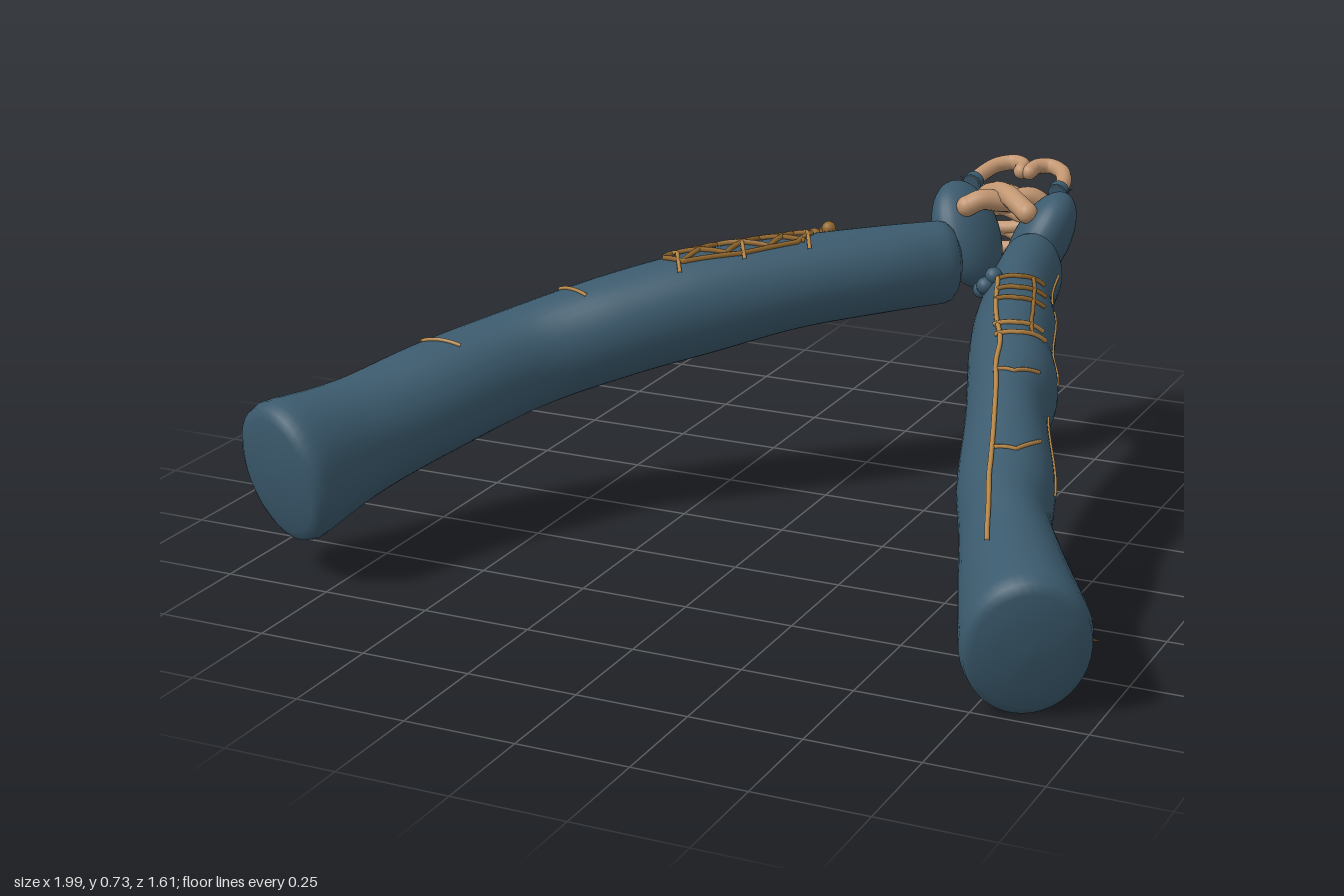
import * as THREE from 'three';

const mat = (name, color) => Object.assign(new THREE.MeshStandardMaterial({ color }), { name });

// Sleeve path from shoulder to wrist: [x, y, z, side radius, vertical radius]
const ARMS = {
  right: [
    [-0.857, 0.26, 0.738, 0.147, 0.17], [-0.785, 0.295, 0.55, 0.122, 0.137], [-0.69, 0.345, 0.36, 0.122, 0.128],
    [-0.56, 0.4, 0.165, 0.106, 0.12], [-0.4, 0.455, 0.02, 0.116, 0.12], [-0.245, 0.495, -0.11, 0.112, 0.12],
    [-0.09, 0.522, -0.245, 0.106, 0.108], [0.07, 0.535, -0.385, 0.093, 0.103], [0.187, 0.54, -0.49, 0.074, 0.1],
  ],
  left: [
    [0.865, 0.162, 0.742, 0.138, 0.17], [0.76, 0.214, 0.545, 0.112, 0.14], [0.697, 0.254, 0.42, 0.097, 0.136],
    [0.648, 0.308, 0.29, 0.104, 0.122], [0.58, 0.378, 0.11, 0.09, 0.124], [0.552, 0.418, 0, 0.1, 0.125],
    [0.51, 0.452, -0.1, 0.094, 0.118], [0.475, 0.487, -0.22, 0.093, 0.113], [0.442, 0.517, -0.33, 0.078, 0.105],
    [0.418, 0.545, -0.48, 0.073, 0.1],
  ],
};

// Returns a function giving points on the sleeve; angle 0 faces -x, 90 faces up
function makeSurface(rows) {
  const path = new THREE.CatmullRomCurve3(rows.map(r => new THREE.Vector3(r[0], r[1], r[2])), false, 'catmullrom');
  const radii = new THREE.CatmullRomCurve3(rows.map(r => new THREE.Vector3(r[3], r[4], 0)), false, 'catmullrom');
  return (u, degrees, lift = 0, scale = 1, shift = 0) => {
    const t = path.getTangent(u), r = radii.getPoint(u), a = THREE.MathUtils.degToRad(degrees);
    const side = new THREE.Vector3(0, 1, 0).cross(t).normalize();
    const up = t.clone().cross(side);
    return path.getPoint(u).addScaledVector(t, shift)
      .addScaledVector(side, Math.cos(a) * (r.x * scale + lift))
      .addScaledVector(up, Math.sin(a) * (r.y * scale + lift));
  };
}

// Skin the sleeve with rings, rounding off both ends
function sleeveGeometry(surface, sides = 40, steps = 64) {
  const rings = [[0, 0.001, -0.024], [0, 0.45, -0.021], [0, 0.8, -0.012], [0, 0.93, -0.002], [0.012, 0.99, 0]];
  for (let i = 1; i <= steps; i++) rings.push([0.012 + (0.988 * i) / steps, 1, 0]);
  rings.push([1, 0.95, 0.016], [1, 0.8, 0.03], [1, 0.5, 0.042], [1, 0.001, 0.047]);
  const pos = [], index = [];
  rings.forEach(([u, scale, shift], i) => {
    for (let j = 0; j < sides; j++) {
      pos.push(...surface(u, (360 * j) / sides, 0, scale, shift).toArray());
      if (i === rings.length - 1) continue;
      const a = i * sides + j, b = i * sides + ((j + 1) % sides);
      index.push(a, b, a + sides, b, b + sides, a + sides);
    }
  });
  const g = new THREE.BufferGeometry();
  g.setAttribute('position', new THREE.Float32BufferAttribute(pos, 3));
  g.setIndex(index);
  g.computeVertexNormals();
  return g;
}

export function createModel() {
  const model = new THREE.Group();
  model.name = 'claspedArms';
  const cloth = mat('blueCloth', 0x3b5a6d);
  const skin = mat('skin', 0xc29671);
  const thread = mat('goldThread', 0xb88848);
  const cord = mat('brownCord', 0x94692f);

  const add = (parent, name, geometry, material) => {
    const m = new THREE.Mesh(geometry, material);
    m.name = name;
    parent.add(m);
    return m;
  };
  const ball = (parent, name, p, r, material) =>
    add(parent, name, new THREE.SphereGeometry(r, 16, 12), material).position.copy(p);

  // A strand laid on a sleeve through [u, angle] stops
  const strand = (parent, surface, name, stops, r, material, lift = 0.002) => {
    const pts = [];
    for (let i = 0; i < stops.length - 1; i++) {
      for (let k = 0; k < 8; k++) {
        const f = k / 8, [a, b] = [stops[i], stops[i + 1]];
        pts.push(surface(a[0] + (b[0] - a[0]) * f, a[1] + (b[1] - a[1]) * f, lift));
      }
    }
    pts.push(surface(...stops[stops.length - 1], lift));
    add(parent, name, new THREE.TubeGeometry(new THREE.CatmullRomCurve3(pts), pts.length * 2, r, 6), material);
  };

  // Sleeves, each with a small loose seam end at the shoulder
  const surfaces = {};
  for (const [side, angle] of [['right', 0], ['left', 180]]) {
    const arm = new THREE.Group();
    arm.name = side + 'Arm';
    model.add(arm);
    const s = (surfaces[side] = makeSurface(ARMS[side]));
    add(arm, 'sleeve', sleeveGeometry(s), cloth);
    const tip = add(arm, 'seamEnd', new THREE.ConeGeometry(0.004, 0.024, 6), cord);
    tip.position.copy(s(0.01, angle, 0.003));
    tip.rotation.z = side === 'right' ? Math.PI / 2 : -Math.PI / 2;
  }

  // Right sleeve: long cord, cross stitches and a laced patch
  const R = model.getObjectByName('rightArm'), rs = surfaces.right;
  strand(R, rs, 'topCord', [[0.13, 47], [0.3, 43], [0.5, 43], [0.7, 46], [0.82, 48]], 0.006, thread, 0.003);
  for (const u of [0.27, 0.45]) strand(R, rs, 'crossStitch', [[u, 42], [u - 0.01, 75], [u + 0.015, 116]], 0.0045, thread);
  for (const [a, b] of [[68, 108], [108, 68]])
    strand(R, rs, 'patchLace', [0.6, 0.66, 0.72, 0.77].map((u, i) => [u, i % 2 ? a : b]), 0.006, cord, 0.005);
  strand(R, rs, 'patchEdge', [[0.58, 88], [0.6, 68], [0.68, 62], [0.76, 68], [0.785, 88], [0.76, 108], [0.68, 114],
    [0.6, 108], [0.58, 88]], 0.006, cord, 0.005);
  for (const u of [0.59, 0.68, 0.77]) strand(R, rs, 'patchBand', [[u, 45], [u + 0.01, 85], [u, 125]], 0.005, thread, 0.006);
  for (const [u, a] of [[0.8, 45], [0.815, 51], [0.815, 64]]) ball(R, 'cordKnot', rs(u, a, 0.008), 0.017, cord);

  // Left sleeve: long cord, dashed outer seam, cross stitches and wrist bands
  const L = model.getObjectByName('leftArm'), ls = surfaces.left;
  strand(L, ls, 'topCord', [[0.09, 58], [0.3, 72], [0.45, 76], [0.68, 70], [0.86, 60]], 0.006, thread, 0.003);
  for (const [a, b] of [[0.02, 0.05], [0.13, 0.2], [0.3, 0.45], [0.55, 0.82], [0.85, 0.97]])
    strand(L, ls, 'outerSeam', [[a, 169], [b, 169]], 0.004, thread, 0);
  for (const u of [0.33, 0.48]) strand(L, ls, 'crossStitch', [[u, 73], [u - 0.005, 100], [u + 0.03, 132]], 0.0045, thread);
  for (const u of [0.61, 0.65, 0.74, 0.78, 0.83])
    strand(L, ls, 'wristBand', [[u, 66], [u - 0.006, 95], [u + 0.01, 134]], 0.0055, u > 0.7 ? cord : thread, 0.005);
  strand(L, ls, 'bandLace', [[0.61, 112], [0.7, 118], [0.83, 114]], 0.005, cord, 0.006);
  for (const [u, a] of [[0.84, 40], [0.855, 28], [0.85, 55]]) ball(L, 'clothKnot', ls(u, a, 0.008), 0.02, cloth);

  // Hands, mirrored about the plane between them; points are [inward x, y, z]
  const MID = 0.305;
  for (const [side, k] of [['right', 1], ['left', -1]]) {
    const hand = new THREE.Group();
    hand.name = side + 'Hand';
    model.add(hand);
    const back = add(hand, 'handBack', new THREE.SphereGeometry(1, 32, 24), cloth);
    back.scale.set(0.066, 0.132, 0.1);
    back.position.set(MID - k * 0.092, 0.586, -0.595);
    back.rotation.set(-0.15, -k * 0.25, k * 0.42);

    const finger = (name, pts, r, cuff) => {
      const v = pts.map(p => new THREE.Vector3(MID + k * p[0], p[1], p[2]));
      const curve = new THREE.CatmullRomCurve3(v);
      add(hand, name, new THREE.TubeGeometry(curve, 28, r, 12), skin);
      ball(hand, name + 'Tip', v[v.length - 1], r, skin);
      if (!cuff) return;
      const c = add(hand, 'fingerCuff', new THREE.CylinderGeometry(r + 0.005, r + 0.004, 0.02, 14, 1), cloth);
      c.position.copy(curve.getPoint(0.04));
      c.quaternion.setFromUnitVectors(new THREE.Vector3(0, 1, 0), curve.getTangent(0.04));
      const spike = add(hand, 'cuffPoint', new THREE.ConeGeometry(0.006, 0.026, 6), cloth);
      spike.position.copy(v[0]).add(new THREE.Vector3(-k * 0.024, 0.006, -0.012));
      spike.rotation.z = k * 1.1;
    };
    // Three interlaced fingers, offset in height between the hands
    for (let i = 0; i < 3; i++) {
      const y = 0.66 - i * 0.05 - (k < 0 ? 0.02 : 0), x = -0.112 + i * 0.008;
      finger('foldedFinger', [[x, y, -0.66], [x + 0.012, y + 0.002, -0.705], [-0.055, y + 0.008, -0.733],
        [0.01, y - 0.01, -0.728], [0.065, y - 0.018, -0.725], [0.1, y - 0.016, -0.692]], 0.0165, true);
    }
    // Raised index finger arching backward
    finger('indexFinger', [[-0.108, 0.692, -0.66], [-0.104, 0.702, -0.715], [-0.082, 0.716, -0.765],
      [-0.045, 0.722, -0.785], [-0.017, 0.722, -0.766], [-0.01, 0.715, -0.735]], 0.0185, true);
    // Crossed thumb
    const lift = k > 0 ? 0.008 : -0.012;
    finger('thumb', [[-0.085, 0.65, -0.665], [-0.05, 0.68, -0.64], [0, 0.686 + lift, -0.6],
      [0.045, 0.682, -0.565], [0.075, 0.668, -0.546]], 0.025, false);
  }
  return model;
}
